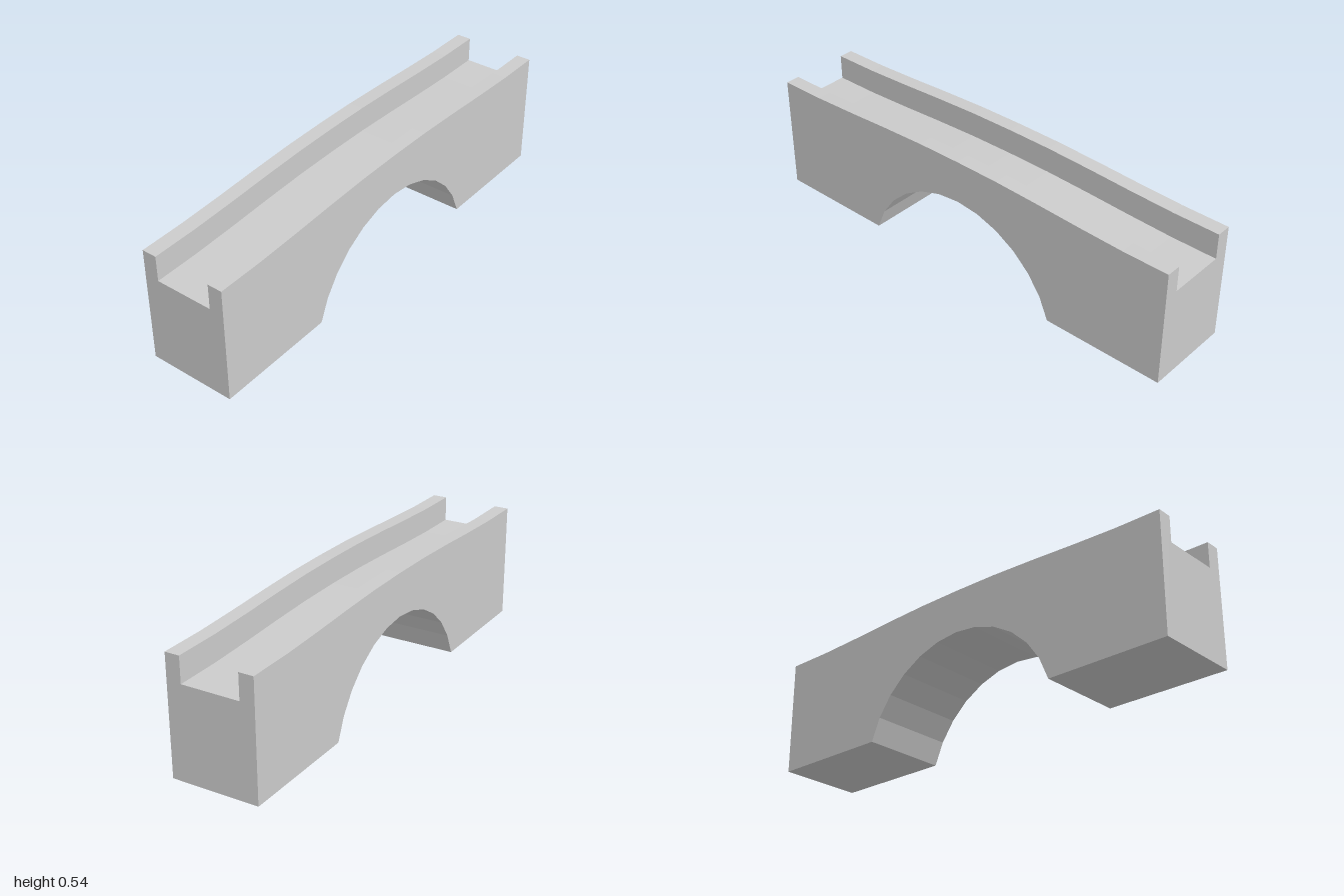
import * as THREE from 'three';

const HALF_LENGTH = 1, HALF_WIDTH = 0.188, INNER = 0.125;
const ARCH_HALF = 0.47, ARCH_RISE = 0.347, ARCH_STEPS = 12;

// gentle hump of the roadway: rise above the flat ends, every 0.2 units
const HUMP = [0.028, 0.026, 0.0185, 0.0085, 0.001, 0];

// side profile of the bridge with a segmental arch cut from the base
function bridgeProfile(endHeight) {
  const shape = new THREE.Shape();
  const radius = (ARCH_HALF ** 2 + ARCH_RISE ** 2) / (2 * ARCH_RISE);
  const sweep = Math.asin(ARCH_HALF / radius);
  shape.moveTo(-HALF_LENGTH, 0);
  for (let i = 0; i <= ARCH_STEPS; i++) {
    const a = sweep * (2 * i / ARCH_STEPS - 1);
    shape.lineTo(radius * Math.sin(a), ARCH_RISE - radius * (1 - Math.cos(a)));
  }
  shape.lineTo(HALF_LENGTH, 0);
  for (let i = 5; i >= -5; i--) shape.lineTo(i * 0.2, endHeight + HUMP[Math.abs(i)]);
  shape.closePath();
  return shape;
}

export function createModel() {
  const bridge = new THREE.Group();
  bridge.name = 'archBridge';
  const stone = new THREE.MeshStandardMaterial({ color: 0xcccccc, flatShading: true });

  function addSlab(name, endHeight, z0, z1) {
    const geometry = new THREE.ExtrudeGeometry(bridgeProfile(endHeight), { depth: z1 - z0, bevelEnabled: false });
    geometry.translate(0, 0, z0);
    const mesh = new THREE.Mesh(geometry, stone);
    mesh.name = name;
    bridge.add(mesh);
  }

  // sunken roadway between two taller side walls that form the parapets
  addSlab('roadway', 0.397, -INNER, INNER);
  addSlab('frontParapetWall', 0.507, INNER, HALF_WIDTH);
  addSlab('backParapetWall', 0.507, -HALF_WIDTH, -INNER);
  return bridge;
}
